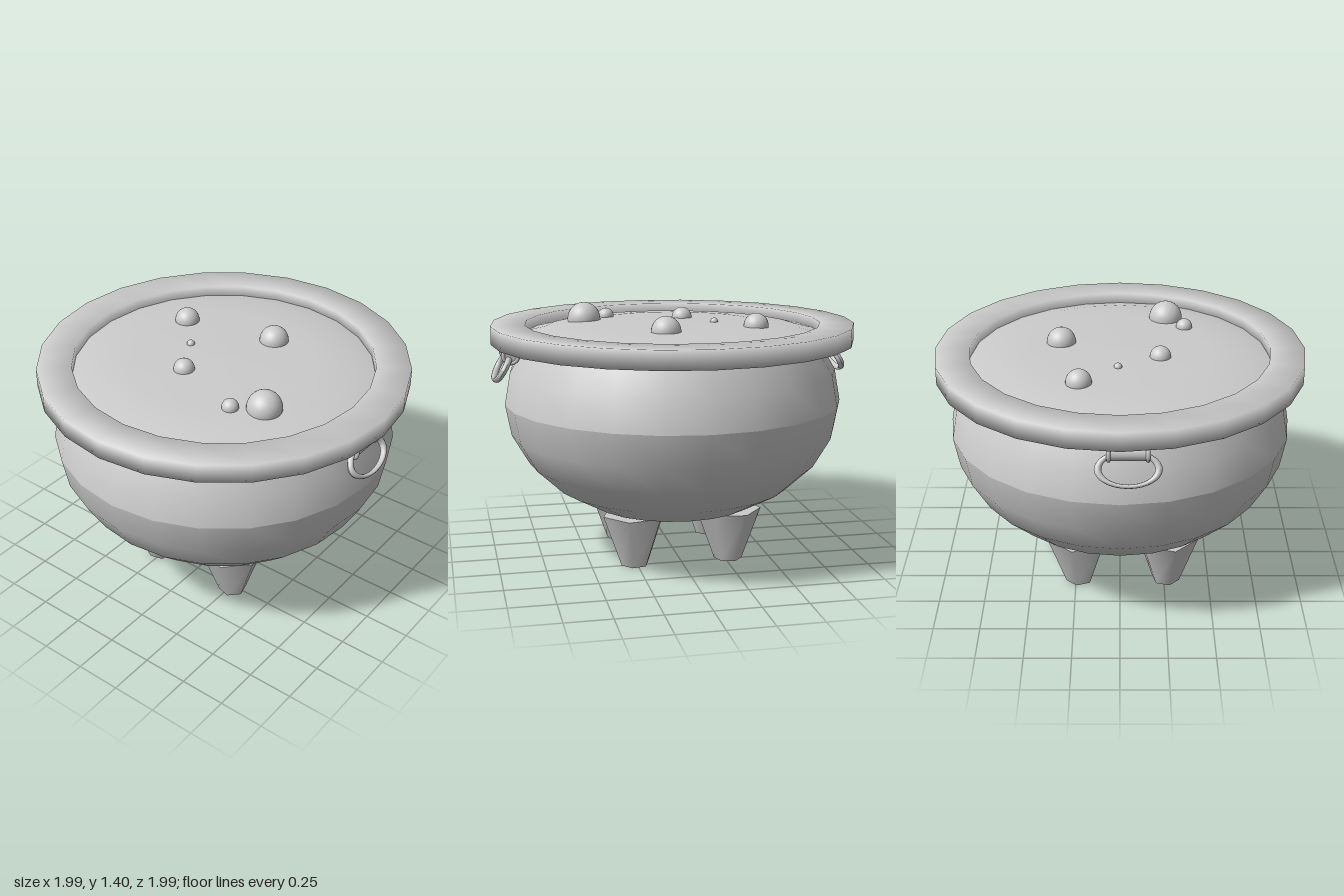
import * as THREE from 'three';
import { mergeVertices } from 'three/addons/utils/BufferGeometryUtils.js';

const SIDES = 24;

export function createModel() {
  const model = new THREE.Group();
  const grey = new THREE.MeshStandardMaterial({ color: 0xcccccc });
  const greyDouble = new THREE.MeshStandardMaterial({ color: 0xcccccc, side: THREE.DoubleSide });

  const add = (parent, name, geometry, material = grey) => {
    const mesh = new THREE.Mesh(geometry, material);
    mesh.name = name;
    parent.add(mesh);
    return mesh;
  };
  const lathe = (points) =>
    new THREE.LatheGeometry(points.map(([r, y]) => new THREE.Vector2(r, y)), SIDES);

  // Bowl: a squashed sphere with a crease at its widest line
  const bowlRing = (degrees) => {
    const a = THREE.MathUtils.degToRad(degrees);
    return [Math.max(0, 0.93 * Math.cos(a)), 0.88 + 0.67 * Math.sin(a)];
  };
  add(model, 'lowerBowl', lathe([-90, -75, -60, -45, -30, -15, 0].map(bowlRing)), greyDouble);
  add(model, 'upperBowl', lathe([0, 15, 30].map(bowlRing)), greyDouble);

  // Rim: square section with softened normals
  let rim = lathe([[0.81, 1.21], [0.995, 1.21], [0.995, 1.31], [0.81, 1.31], [0.81, 1.21]]);
  rim.deleteAttribute('uv');
  rim.deleteAttribute('normal');
  rim = mergeVertices(rim, 1e-4);
  rim.computeVertexNormals();
  add(model, 'rim', rim);

  // Liquid: slightly domed surface
  add(model, 'liquid', lathe([[0.82, 1.25], [0.7, 1.28], [0.5, 1.298], [0, 1.305]]), greyDouble);

  // Bubbles: x, z, radius
  const bubbles = [
    [0.21, -0.42, 0.068], [0.01, -0.235, 0.022], [-0.215, -0.1, 0.057],
    [0.32, 0.1, 0.08], [-0.36, 0.315, 0.045], [-0.26, 0.455, 0.093],
  ];
  for (const [x, z, r] of bubbles) {
    add(model, 'bubble', new THREE.SphereGeometry(r, 24, 16)).position.set(x, 1.303, z);
  }

  // Four tapered legs, a flat face turned outward
  for (const [x, z] of [[0.23, 0.26], [-0.26, 0.26], [0.23, -0.27], [-0.26, -0.27]]) {
    const leg = add(model, 'leg', new THREE.CylinderGeometry(0.18, 0.078, 0.29, 6));
    leg.position.set(x, 0.145, z);
    leg.rotation.y = Math.atan2(x, z) + Math.PI / 6;
  }

  // Ring handles on front and back
  for (const side of [1, -1]) {
    const handle = new THREE.Group();
    handle.name = side > 0 ? 'frontHandle' : 'backHandle';
    handle.position.set(-0.04, 1.155, 0.895 * side);
    handle.rotation.y = side > 0 ? 0 : Math.PI;
    model.add(handle);

    const mount = add(handle, 'handleMount', new THREE.CylinderGeometry(0.042, 0.042, 0.2, 16));
    mount.rotation.z = Math.PI / 2;
    for (const end of [-1, 1]) {
      const collar = add(handle, 'mountCollar', new THREE.TorusGeometry(0.04, 0.011, 8, 16));
      collar.position.x = 0.095 * end;
      collar.rotation.y = Math.PI / 2;
    }

    // Oval ring hanging outward
    const oval = new THREE.TorusGeometry(0.147, 0.018, 10, 32);
    oval.scale(1, 0.57, 1);
    oval.computeVertexNormals();
    const ring = add(handle, 'handleRing', oval);
    ring.position.set(0, -0.07, 0.042);
    ring.rotation.x = -0.54;
  }
  return model;
}
